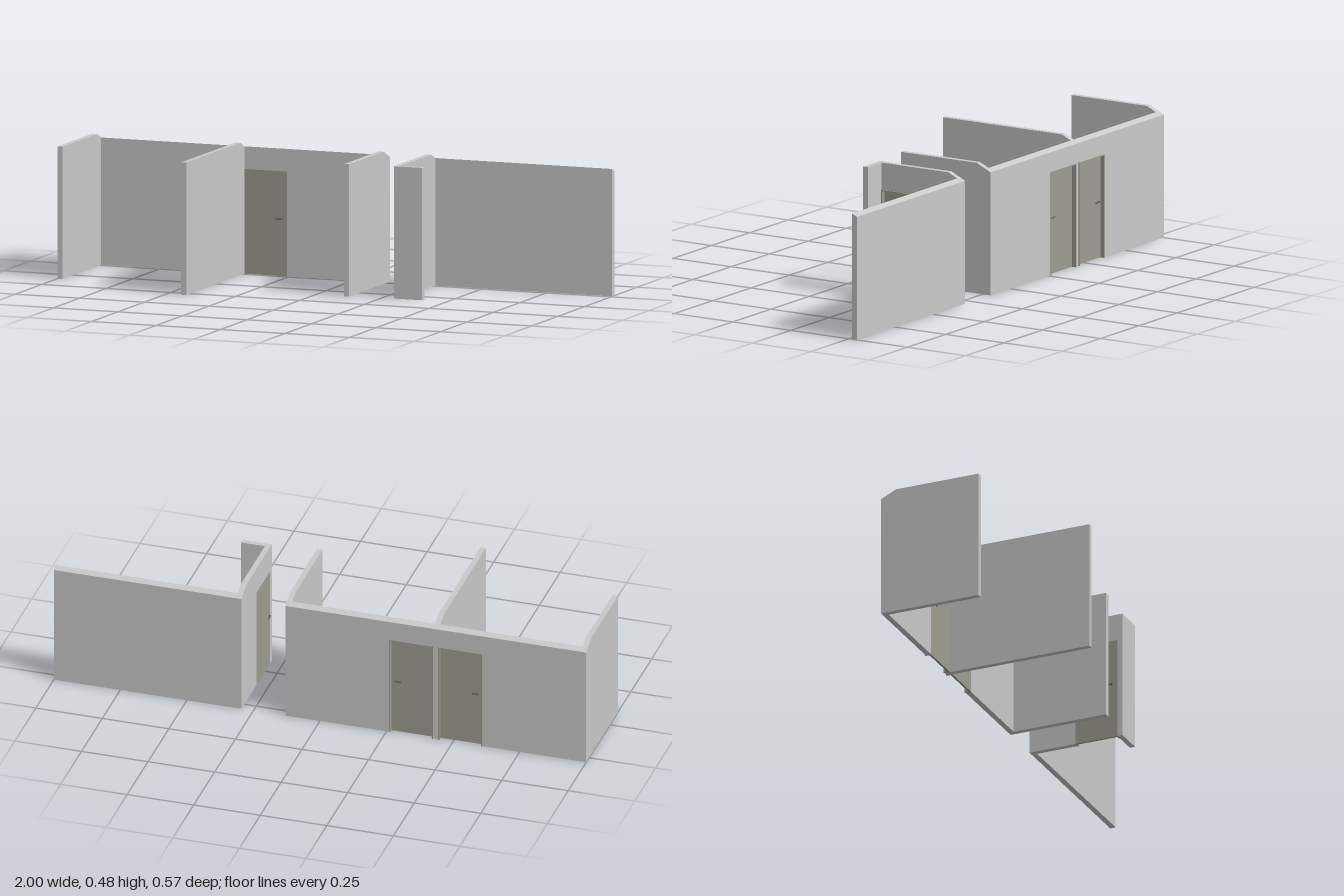
import * as THREE from 'three';

const H = 0.48, BACK = -0.284, INNER = -0.263, BEVEL = -0.225, T = 0.02;
const DOOR_W = 0.165, DOOR_H = 0.38;

// Wall top: level, then sloping down towards the back
const topAt = (z) => (z < BEVEL ? H - (BEVEL - z) * 0.47 : H);

function outline(points) {
  return new THREE.Shape(points.map(([x, y]) => new THREE.Vector2(x, y)));
}

function extrude(shape, depth) {
  return new THREE.ExtrudeGeometry(shape, { depth, bevelEnabled: false });
}

// Points that step around doorways along the bottom edge
function doorways(list) {
  return list.flatMap(([a, b]) => [[a, 0], [a, DOOR_H], [b, DOOR_H], [b, 0]]);
}

export function createModel() {
  const model = new THREE.Group();
  const wallMat = new THREE.MeshStandardMaterial({ color: 0xc9c9c9 });
  wallMat.name = 'wall grey';
  const doorMat = new THREE.MeshStandardMaterial({ color: 0x9e9d91 });
  doorMat.name = 'door olive grey';
  const handleMat = new THREE.MeshStandardMaterial({ color: 0x66665c });
  handleMat.name = 'handle dark grey';

  function add(parent, name, geometry, material, x = 0, y = 0, z = 0) {
    const mesh = new THREE.Mesh(geometry, material);
    mesh.name = name;
    mesh.position.set(x, y, z);
    parent.add(mesh);
    return mesh;
  }

  // Back wall along x with a sloping top
  function backWall(name, x0, x1, doors = []) {
    const geo = extrude(outline([[x0, 0], ...doorways(doors), [x1, 0], [x1, H], [x0, H]]), INNER - BACK);
    geo.translate(0, 0, BACK);
    const p = geo.attributes.position;
    for (let i = 0; i < p.count; i++) {
      if (p.getY(i) > DOOR_H + 0.01) p.setY(i, topAt(p.getZ(i)));
    }
    geo.computeVertexNormals();
    add(model, name, geo, wallMat);
  }

  // Wall running forward from the back wall
  function sideWall(name, x0, zEnd, doors = []) {
    const shape = outline([
      [INNER, 0], ...doorways(doors), [zEnd, 0], [zEnd, H], [BEVEL, H], [INNER, topAt(INNER)],
    ]);
    add(model, name, extrude(shape, T), wallMat, x0 + T).rotation.y = -Math.PI / 2;
  }

  // Door with its face at local z = 0 and the frame reaching back
  function door(name, x, z, side, turn = 0) {
    const g = new THREE.Group();
    g.name = name;
    const w = DOOR_W / 2, f = 0.004, depth = 0.024, leaf = 0.008;
    const frame = outline([
      [-w, 0], [-w + f, 0], [-w + f, DOOR_H - f], [w - f, DOOR_H - f],
      [w - f, 0], [w, 0], [w, DOOR_H], [-w, DOOR_H],
    ]);
    add(g, 'doorFrame', extrude(frame, depth), doorMat, 0, 0, -depth);
    add(g, 'doorLeaf', new THREE.BoxGeometry(DOOR_W - 2 * f, DOOR_H - f, leaf), doorMat,
      0, (DOOR_H - f) / 2, -leaf / 2);
    // Lever and stem on both faces
    for (const [face, dir] of [[0, 1], [-leaf, -1]]) {
      add(g, 'handleLever', new THREE.BoxGeometry(0.025, 0.005, 0.003), handleMat,
        side * (w - 0.03), 0.207, face + dir * 0.0065);
      add(g, 'handleStem', new THREE.BoxGeometry(0.005, 0.005, 0.006), handleMat,
        side * (w - 0.02), 0.207, face + dir * 0.003);
    }
    g.position.set(x, 0, z);
    g.rotation.y = turn;
    model.add(g);
  }

  // Left block: two rooms with a pair of doors at the back
  backWall('longBackWall', -1, 0.13, [[-0.61, -0.445], [-0.425, -0.26]]);
  sideWall('outerSideWall', -1, 0.1);
  sideWall('dividingWall', -0.445, 0.285);
  sideWall('innerSideWall', 0.11, 0.1);
  door('backDoorOne', -0.5275, INNER, -1);
  door('backDoorTwo', -0.3425, INNER, 1);

  // Right block: back wall, side wall with a door, short return
  backWall('shortBackWall', 0.295, 1);
  sideWall('doorSideWall', 0.295, 0.081, [[-0.104, 0.061]]);
  add(model, 'returnWall', new THREE.BoxGeometry(0.09, H, T), wallMat, 0.36, H / 2, 0.071);
  door('sideDoor', 0.295, -0.0215, 1, -Math.PI / 2);

  return model;
}
